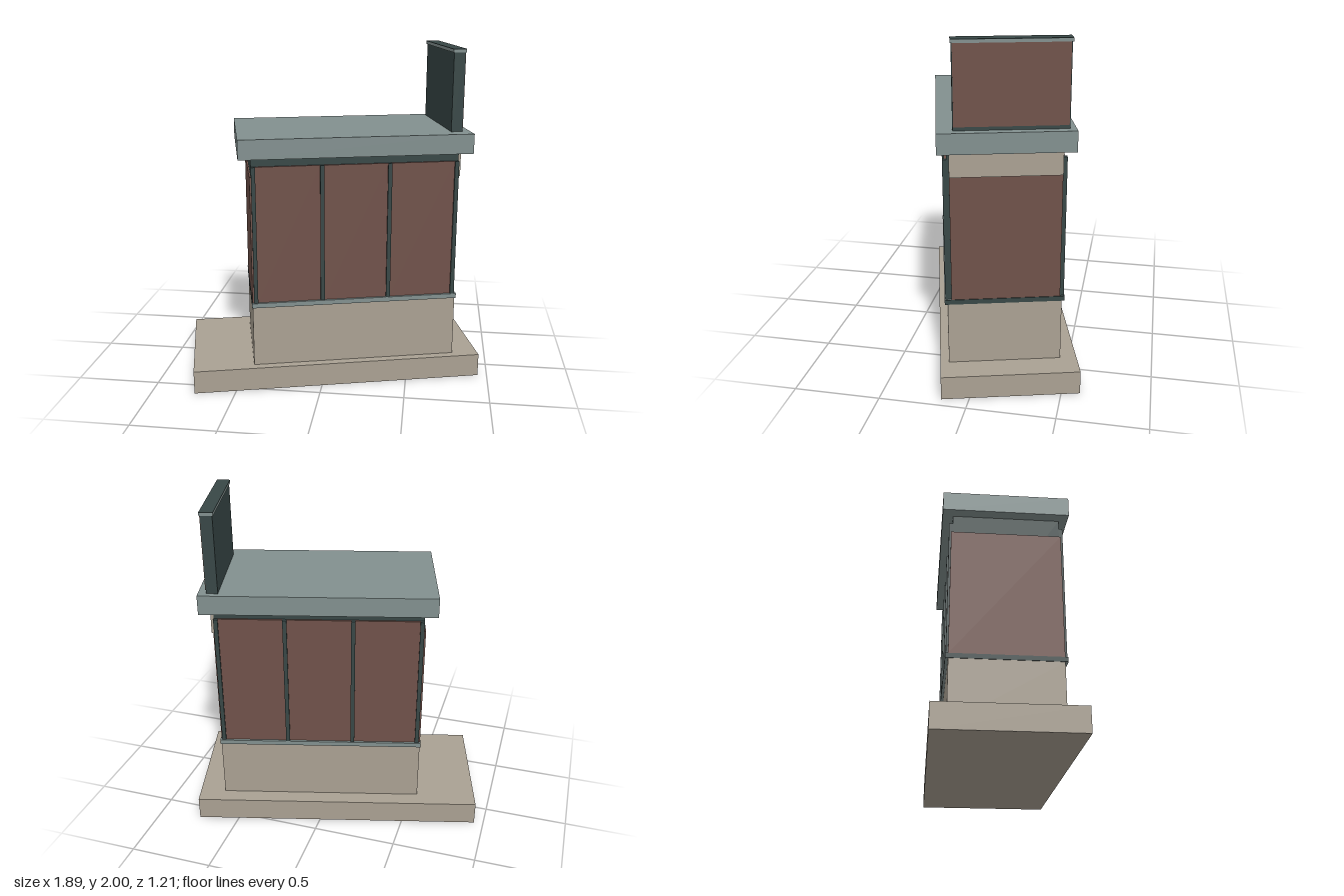
import * as THREE from 'three';

const mat = (name, color) => {
  const m = new THREE.MeshStandardMaterial({ color });
  m.name = name;
  return m;
};

export function createModel() {
  const stone = mat('stone', 0xaaa193);
  const brick = mat('russet', 0x70524a);
  const teal = mat('dark teal', 0x384746);
  const slate = mat('slate', 0x82908f);

  const model = new THREE.Group();
  const kiosk = new THREE.Group();
  kiosk.name = 'kiosk';
  kiosk.rotation.y = THREE.MathUtils.degToRad(15);
  model.add(kiosk);

  // Box given by its limits along each axis
  const box = (name, material, [x0, x1], [y0, y1], [z0, z1]) => {
    const mesh = new THREE.Mesh(new THREE.BoxGeometry(x1 - x0, y1 - y0, z1 - z0), material);
    mesh.position.set((x0 + x1) / 2, (y0 + y1) / 2, (z0 + z1) / 2);
    mesh.name = name;
    kiosk.add(mesh);
  };

  const cx = 0.103, cz = 0.0225; // centre of the body on the base

  // Base, plinth, core and roof
  box('base', stone, [-0.872, 0.872], [0, 0.14], [-0.393, 0.393]);
  box('plinth', stone, [-0.51, 0.716], [0.14, 0.512], [-0.298, 0.343]);
  box('core', teal, [-0.502, 0.708], [0.512, 1.41], [-0.289, 0.334]);
  box('roof', slate, [-0.574, 0.782], [1.41, 1.525], [-0.35, 0.385]);

  // Long sides: sill, three panels and four mullions each
  const step = 0.395;
  for (const side of [1, -1]) {
    const span = (a, b) => [cz + side * a, cz + side * b].sort((p, q) => p - q);
    box('sill', slate, [-0.512, 0.718], [0.512, 0.54], span(0.3, 0.337));
    for (let i = 0; i < 4; i++) {
      const x = cx + (i - 1.5) * step;
      box('mullion', teal, [x - 0.012, x + 0.012], [0.54, 1.36], span(0.3, 0.333));
      if (i < 3) box('sidePanel', brick, [x + 0.012, x + step - 0.012], [0.54, 1.36], span(0.3, 0.323));
    }
  }

  // End walls
  box('endSill', teal, [0.7, 0.72], [0.512, 0.54], [-0.314, 0.359]);
  box('endSill', teal, [-0.514, -0.49], [0.512, 0.54], [-0.314, 0.359]);
  box('endPanel', brick, [0.7, 0.716], [0.54, 1.265], [-0.288, 0.321]);
  box('endPanel', brick, [-0.511, -0.49], [0.54, 1.3], [-0.298, 0.343]);
  box('endFascia', stone, [0.7, 0.725], [1.265, 1.41], [-0.288, 0.321]);

  // Upright sign on the roof
  box('signBoard', teal, [0.668, 0.734], [1.525, 1.98], [-0.315, 0.298]);
  box('signPanel', brick, [0.734, 0.738], [1.545, 1.98], [-0.31, 0.293]);
  box('signCap', slate, [0.662, 0.74], [1.98, 1.997], [-0.32, 0.303]);
  box('signCapTop', teal, [0.662, 0.74], [1.997, 2], [-0.32, 0.303]);

  return model;
}
